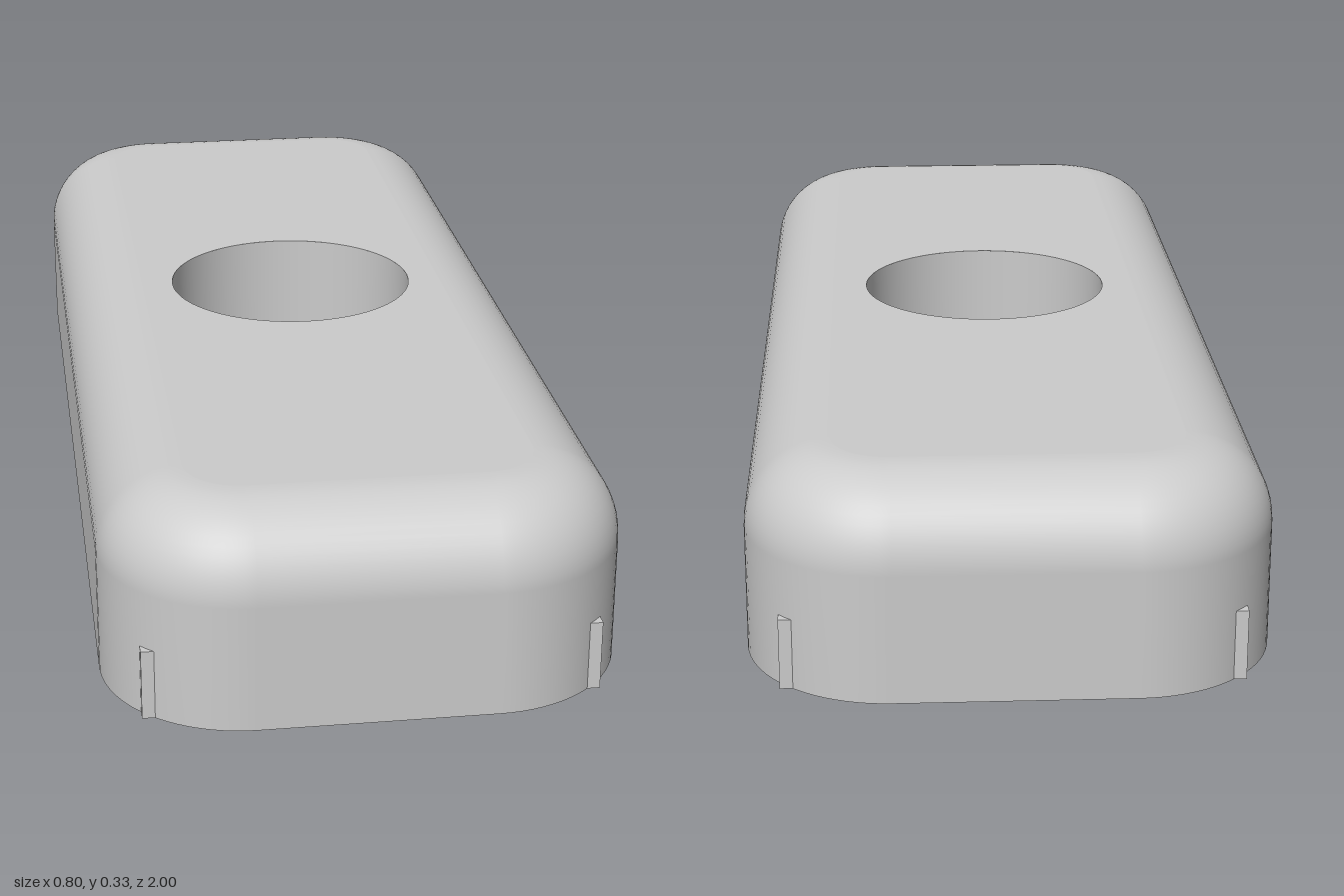
import * as THREE from 'three';
import { toCreasedNormals } from 'three/addons/utils/BufferGeometryUtils.js';

const HX = 0.4, HZ = 1, H = 0.333;          // half width, half length, height
const CORNER = 0.22, FILLET = 0.133;        // plan corner radius, top edge radius
const BORE = 0.213, PIN = 0.077, PIN_Z = 0.6;
const PLATE_X = 0.346, PLATE_Z = 0.944, PLATE_H = 0.111;

// Rounded rectangle outline, inset by t
function outline(t, steps = 20) {
  const pts = [], r = CORNER - t;
  [[1, 1], [-1, 1], [-1, -1], [1, -1]].forEach(([sx, sz], q) => {
    for (let k = 0; k <= steps; k++) {
      const a = (q + k / steps) * Math.PI / 2;
      pts.push(new THREE.Vector2(
        sx * (HX - CORNER) + r * Math.cos(a),
        sz * (HZ - CORNER) + r * Math.sin(a)));
    }
  });
  return pts;
}

function addHole(shape, y, r) {
  shape.holes.push(new THREE.Path().absarc(0, y, r, 0, Math.PI * 2, true));
}

// Side wall rolling over into the top, one loop per section
function shellGeometry() {
  const sections = [[0, 0]];
  for (let k = 0; k <= 14; k++) {
    const a = k / 14 * Math.PI / 2;
    sections.push([FILLET * (1 - Math.cos(a)), H - FILLET + FILLET * Math.sin(a)]);
  }
  const pos = [], idx = [];
  let n = 0;
  for (const [t, y] of sections) {
    const loop = outline(t);
    n = loop.length;
    loop.forEach(p => pos.push(p.x, y, p.y));
  }
  for (let i = 0; i < sections.length - 1; i++) {
    for (let j = 0; j < n; j++) {
      const a = i * n + j, b = i * n + (j + 1) % n;
      idx.push(a, a + n, b + n, a, b + n, b);
    }
  }
  const g = new THREE.BufferGeometry();
  g.setAttribute('position', new THREE.Float32BufferAttribute(pos, 3));
  g.setIndex(idx);
  g.computeVertexNormals();
  return g;
}

export function createModel() {
  const group = new THREE.Group();
  const mat = new THREE.MeshStandardMaterial({ color: 0xcccccc });
  const inner = new THREE.MeshStandardMaterial({ color: 0xcccccc, side: THREE.BackSide });
  const add = (name, geo, m = mat) => {
    const mesh = new THREE.Mesh(geo, m);
    mesh.name = name;
    group.add(mesh);
    return mesh;
  };

  // Rounded body
  add('bodyShell', shellGeometry());

  const top = new THREE.Shape(outline(FILLET));
  addHole(top, 0, BORE);
  add('topFace', new THREE.ShapeGeometry(top, 96).rotateX(-Math.PI / 2)).position.y = H;

  // Underside rim, a hair above the plate's face
  const under = new THREE.Shape(outline(0));
  addHole(under, 0, BORE);
  [1, -1].forEach(s => addHole(under, s * PIN_Z, PIN));
  add('underside', new THREE.ShapeGeometry(under, 96).rotateX(Math.PI / 2)).position.y = 0.002;

  // Central through-hole above the plate
  add('centreBore', new THREE.CylinderGeometry(BORE, BORE, H - PLATE_H, 96, 1, true), inner)
    .position.y = (H + PLATE_H) / 2;

  // Base plate, its square corners just breaking through the rounded corners
  const plate = new THREE.Shape([[-1, -1], [1, -1], [1, 1], [-1, 1]]
    .map(([x, z]) => new THREE.Vector2(x * PLATE_X, z * PLATE_Z)));
  addHole(plate, 0, BORE);
  [1, -1].forEach(s => addHole(plate, s * PIN_Z, PIN));
  const plateGeo = new THREE.ExtrudeGeometry(plate,
    { depth: PLATE_H, bevelEnabled: false, curveSegments: 96 }).rotateX(-Math.PI / 2);
  add('basePlate', toCreasedNormals(plateGeo, 0.5));

  // Floors of the two blind holes
  [1, -1].forEach(s => {
    add(s > 0 ? 'frontHoleFloor' : 'backHoleFloor',
      new THREE.CircleGeometry(PIN, 96).rotateX(Math.PI / 2))
      .position.set(0, PLATE_H, s * PIN_Z);
  });

  return group;
}
